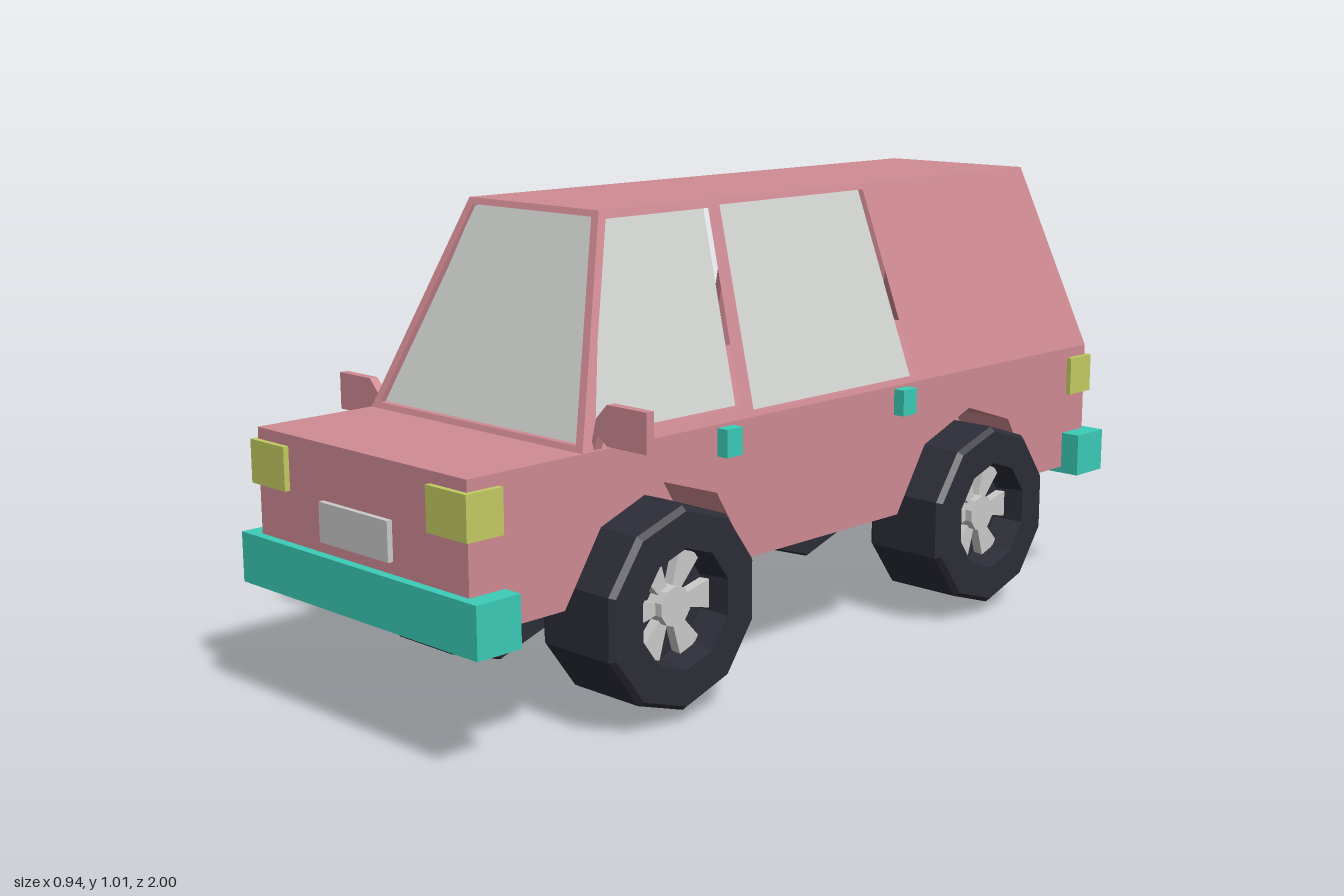
import * as THREE from 'three';

const mat = (name, color) => {
  const m = new THREE.MeshStandardMaterial({ color });
  m.name = name;
  return m;
};

export function createModel() {
  const paint = mat('pink paint', 0xd08b94);
  const glass = mat('window glass', 0xd2d4d2);
  const teal = mat('teal trim', 0x3bccb8);
  const yellow = mat('yellow lamp', 0xc4cc62);
  const silver = mat('silver', 0xcacaca);
  const rubber = mat('tyre rubber', 0x2c2d37);

  const car = new THREE.Group();
  car.name = 'car';

  const add = (name, geo, material, parent = car) => {
    const g = geo.index ? geo.toNonIndexed() : geo;
    g.computeVertexNormals();
    const mesh = new THREE.Mesh(g, material);
    mesh.name = name;
    parent.add(mesh);
    return mesh;
  };
  // box given by its min and max on each axis
  const box = (name, material, x0, x1, y0, y1, z0, z1) => {
    const g = new THREE.BoxGeometry(x1 - x0, y1 - y0, z1 - z0);
    g.translate((x0 + x1) / 2, (y0 + y1) / 2, (z0 + z1) / 2);
    return add(name, g, material);
  };
  const shapeOf = (pts) => new THREE.Shape(pts.map(([x, y]) => new THREE.Vector2(x, y)));
  const extrude = (shape, depth) =>
    new THREE.ExtrudeGeometry(shape, { depth, bevelEnabled: false });

  const CX = 0.004, SILL = 0.58, ROOF = 1.015;

  // Lower body: core between the wheel wells plus notched sides
  box('bodyCore', paint, CX - 0.17, CX + 0.17, 0.285, SILL, -0.98, 0.98);
  const arch = (z) => [[z + 0.26, 0.285], [z + 0.165, 0.43], [z, 0.49],
    [z - 0.155, 0.44], [z - 0.25, 0.285]];
  const lower = [[0.98, SILL], [0.98, 0.285], ...arch(0.49), ...arch(-0.51),
    [-0.98, 0.285], [-0.98, SILL]];
  for (const s of [1, -1]) {
    const g = extrude(shapeOf(lower.map(([z, y]) => [-s * z, y])), 0.155);
    g.translate(0, 0, 0.17).rotateY(s * Math.PI / 2).translate(CX, 0, 0);
    add('bodySide', g, paint);
  }

  // Sloping cabin walls: drawn facing +z, leaned back, then turned into place
  const T = 0.02;
  const lean = (geo, base, top, angle) => {
    const p = geo.attributes.position;
    for (let i = 0; i < p.count; i++) {
      const k = (p.getY(i) - SILL) / (ROOF - SILL);
      p.setZ(i, p.getZ(i) + base + (top - base) * k);
    }
    return geo.rotateY(angle).translate(CX, 0, 0);
  };
  const wall = (name, outline, windows, base, top, angle) => {
    const shape = shapeOf(outline);
    for (const w of windows) shape.holes.push(new THREE.Path(shapeOf(w).getPoints()));
    const g = extrude(shape, T).translate(0, 0, -T);
    add(name, lean(g, base, top, angle), paint);
    for (const w of windows) {
      const pane = new THREE.ShapeGeometry(shapeOf(w)).translate(0, 0, -T * 0.7);
      add(name + 'Window', lean(pane, base, top, angle), glass);
    }
  };
  const ends = [[-0.325, SILL], [0.325, SILL], [0.195, ROOF], [-0.195, ROOF]];
  const windscreen = [[-0.305, 0.592], [0.305, 0.592], [0.184, 1.002], [-0.184, 1.002]];
  wall('frontWall', ends, [windscreen], 0.70, 0.53, 0);
  wall('rearWall', ends, [], 0.98, 0.87, Math.PI);

  const sideOutline = [[0.70, SILL], [0.53, ROOF], [-0.87, ROOF], [-0.98, SILL]];
  const frontWindow = [[0.66, 0.605], [0.53, 0.998], [0.23, 0.998], [0.258, 0.605]];
  const rearWindow = [[0.222, 0.59], [0.195, 1.002], [-0.265, 1.002], [-0.308, 0.59]];
  for (const s of [1, -1]) {
    const flip = (pts) => pts.map(([z, y]) => [-s * z, y]);
    wall('sideWall', flip(sideOutline), [flip(frontWindow), flip(rearWindow)],
      0.325, 0.195, s * Math.PI / 2);
  }
  box('roof', paint, CX - 0.195, CX + 0.195, ROOF - 0.008, ROOF, -0.87, 0.53);

  // Bumpers, number plates, lamps
  box('frontBumper', teal, -0.365, 0.372, 0.255, 0.36, 0.895, 1);
  box('rearBumper', teal, -0.36, 0.376, 0.27, 0.37, -1, -0.895);
  box('frontPlate', silver, -0.107, 0.108, 0.385, 0.466, 0.97, 0.992);
  box('rearPlate', silver, -0.107, 0.108, 0.4, 0.48, -0.995, -0.97);
  for (const [x0, x1] of [[-0.331, -0.218], [0.225, 0.341]]) {
    box('headlight', yellow, x0, x1, 0.466, 0.556, 0.905, 0.992);
    box('tailLight', yellow, x0, x1, 0.466, 0.556, -0.99, -0.905);
  }

  // Door handles
  for (const z of [0.31, -0.255]) {
    box('leftHandle', teal, 0.32, 0.356, 0.515, 0.573, z - 0.023, z + 0.023);
    box('rightHandle', teal, -0.347, -0.31, 0.51, 0.567, z - 0.023, z + 0.023);
  }

  // Door mirrors
  const mirrorShape = [[0.318, 0.58], [0.335, 0.645], [0.365, 0.675], [0.47, 0.675],
    [0.47, 0.595], [0.365, 0.595], [0.338, 0.612], [0.324, 0.57]];
  for (const [s, drop] of [[1, 0], [-1, 0.045]]) {
    const pts = mirrorShape.map(([x, y]) => [s * x, y - drop]);
    add('doorMirror', extrude(shapeOf(pts), 0.02).translate(0, 0, 0.65), paint);
    const x = s * 0.418;
    box('mirrorGlass', silver, x - 0.043, x + 0.043, 0.604 - drop, 0.666 - drop, 0.647, 0.651);
  }

  // Wheels: ten-sided tyre with a recessed six-spoke rim, facing local +z
  const tyreProfile = [[0, 0], [0.205, 0], [0.21, 0.008], [0.21, 0.188], [0.2, 0.2],
    [0.125, 0.2], [0.115, 0.13], [0, 0.13]].map(([r, y]) => new THREE.Vector2(r, y));
  const spokeShape = shapeOf([[0.03, -0.011], [0.116, -0.031], [0.116, 0.031], [0.03, 0.011]]);
  const wheel = (name, s, x, y, z, size) => {
    const g = new THREE.Group();
    g.name = name;
    add('tyre', new THREE.LatheGeometry(tyreProfile, 10).rotateX(Math.PI / 2), rubber, g);
    for (let i = 0; i < 6; i++) {
      const spoke = extrude(spokeShape, 0.025).translate(0, 0, 0.128);
      add('spoke', spoke.rotateZ(i * Math.PI / 3), silver, g);
    }
    const hub = new THREE.CylinderGeometry(0.042, 0.042, 0.045, 10);
    add('hub', hub.rotateX(Math.PI / 2).translate(0, 0, 0.148), silver, g);
    g.position.set(x, y, z);
    g.rotation.y = s * Math.PI / 2;
    g.scale.set(size, size, 1);
    car.add(g);
  };
  wheel('frontLeftWheel', 1, 0.188, 0.24, 0.483, 1);
  wheel('rearLeftWheel', 1, 0.188, 0.24, -0.53, 1);
  wheel('frontRightWheel', -1, -0.178, 0.228, 0.48, 1.07);
  wheel('rearRightWheel', -1, -0.18, 0.24, -0.535, 1);

  return car;
}
